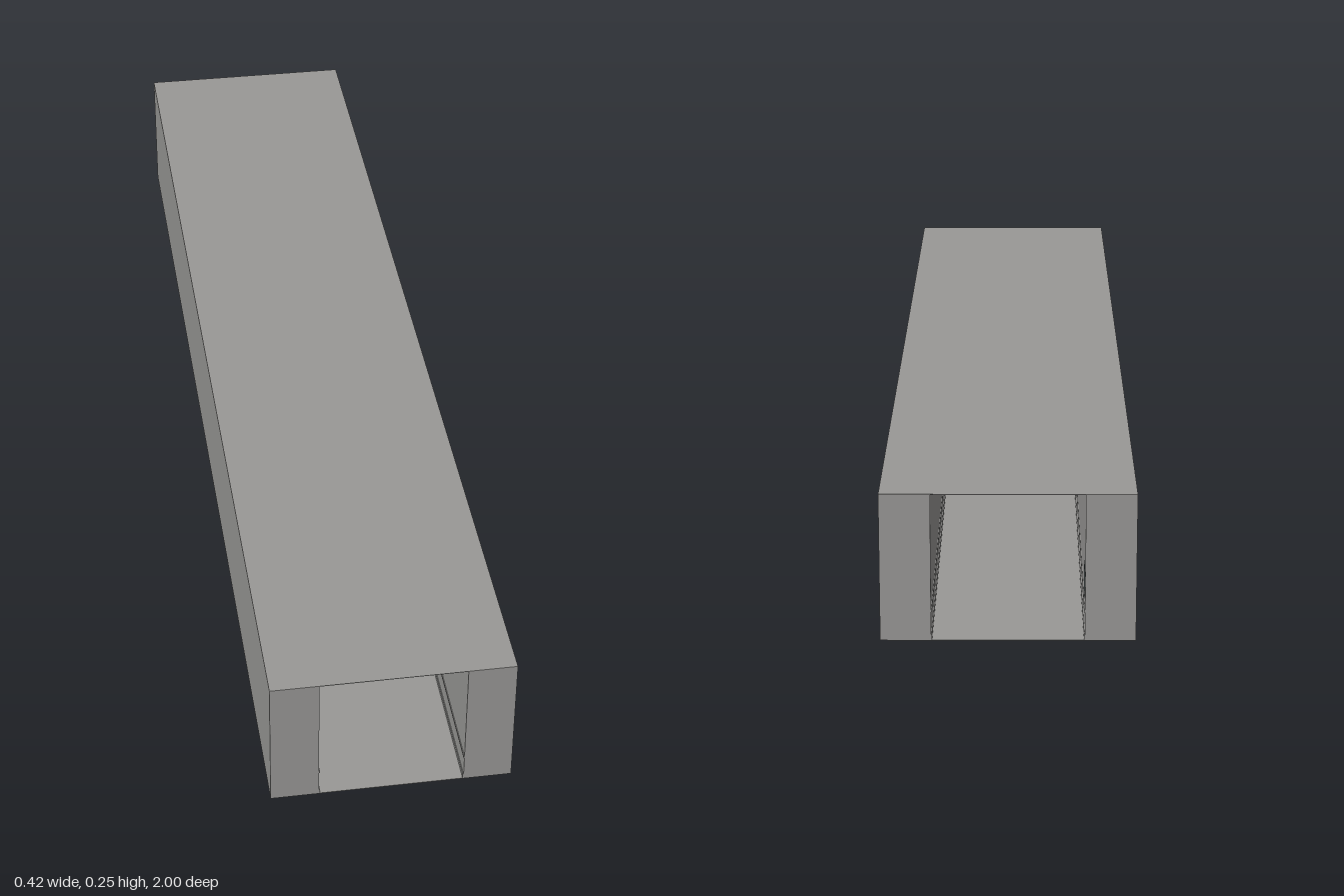
import * as THREE from 'three';

const mat = (name, color) => {
  const m = new THREE.MeshStandardMaterial({ color });
  m.name = name;
  return m;
};

export function createModel() {
  const group = new THREE.Group();
  group.name = 'corridor';
  const plaster = mat('grey plaster', 0x999896);
  const glass = mat('dark teal glass', 0x5a6363);

  // Box from its minimum and maximum corners
  const box = (name, material, x0, x1, y0, y1, z0, z1, parent = group) => {
    const mesh = new THREE.Mesh(new THREE.BoxGeometry(x1 - x0, y1 - y0, z1 - z0), material);
    mesh.position.set((x0 + x1) / 2, (y0 + y1) / 2, (z0 + z1) / 2);
    mesh.name = name;
    parent.add(mesh);
    return mesh;
  };

  // Shell, open at both ends
  box('floor', plaster, -0.125, 0.125, 0, 0.001, -1, 1);
  box('ceiling', plaster, -0.125, 0.125, 0.249, 0.25, -1, 1);
  for (const side of [-1, 1]) {
    const span = (a, b) => (side > 0 ? [a, b] : [-b, -a]);
    box('wall', plaster, ...span(0.125, 0.208), 0, 0.25, -1, 1);
    box('baseboard', plaster, ...span(0.1235, 0.126), 0.001, 0.01, -1, 1);
    box('wallRail', plaster, ...span(0.1235, 0.126), 0.049, 0.053, -1, 1);
  }

  // Small panels on the right wall
  box('upperWallPanel', glass, -0.126, -0.1245, 0.171, 0.23, 0.92, 0.998);
  box('lowerWallPanel', glass, -0.126, -0.1245, 0.068, 0.113, -0.987, -0.927);

  // Hanging lamps along the ceiling
  for (let i = 0; i < 8; i++) {
    const z = -0.88 + i * 0.25;
    const lamp = new THREE.Group();
    lamp.name = 'ceilingLamp';
    box('lampBody', plaster, -0.029, 0.029, 0.223, 0.237, z - 0.006, z + 0.006, lamp);
    box('lampCord', plaster, -0.0008, 0.0008, 0.237, 0.249, z - 0.0008, z + 0.0008, lamp);
    group.add(lamp);
  }

  // Framed window standing across the corridor
  const win = new THREE.Group();
  win.name = 'window';
  box('windowGlass', glass, -0.076, 0.076, 0.083, 0.201, -0.002, 0.002, win);
  box('frameTop', plaster, -0.08, 0.08, 0.201, 0.205, -0.006, 0.006, win);
  box('frameBottom', plaster, -0.08, 0.08, 0.08, 0.083, -0.006, 0.006, win);
  box('windowSill', plaster, -0.082, 0.082, 0.077, 0.08, -0.008, 0.008, win);
  for (const s of [-1, 1]) {
    box('frameSide', plaster, s * 0.078 - 0.002, s * 0.078 + 0.002, 0.083, 0.201, -0.006, 0.006, win);
    box('innerFrame', glass, s * 0.074 - 0.001, s * 0.074 + 0.001, 0.083, 0.199, -0.004, 0.004, win);
  }
  box('verticalBar', plaster, 0, 0.002, 0.15, 0.198, -0.003, 0.003, win);
  box('horizontalBar', plaster, -0.073, -0.026, 0.154, 0.156, -0.003, 0.003, win);
  group.add(win);

  return group;
}
